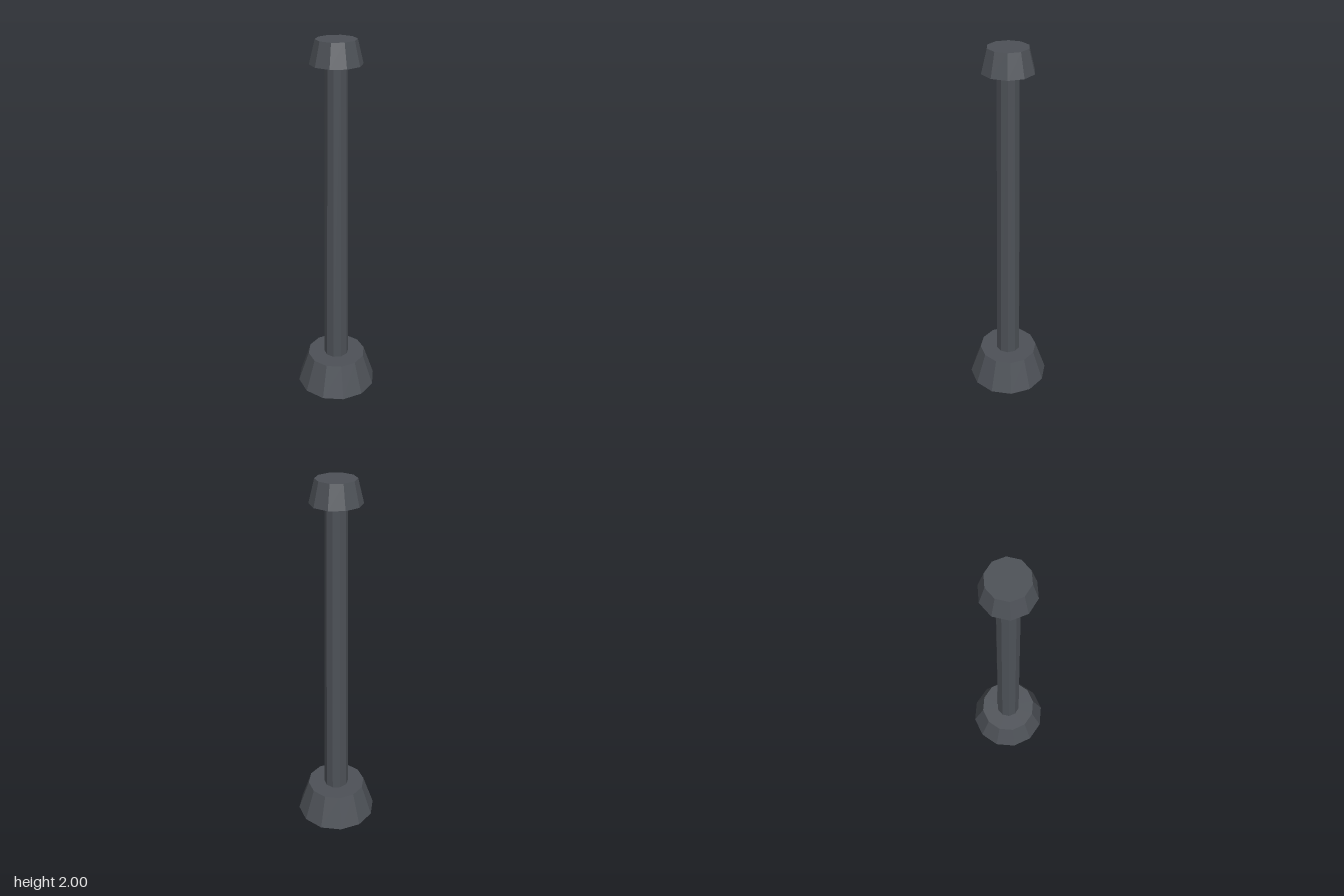
import * as THREE from 'three';

export function createModel() {
  const group = new THREE.Group();
  const darkGrey = new THREE.MeshStandardMaterial({ color: 0x4d5157, flatShading: true });
  darkGrey.name = 'darkGrey';

  // Tapered faceted section standing between two heights
  function section(name, rBottom, rTop, y0, y1, sides, open = false) {
    const geometry = new THREE.CylinderGeometry(rTop, rBottom, y1 - y0, sides, 1, open);
    const mesh = new THREE.Mesh(geometry, darkGrey);
    mesh.name = name;
    mesh.position.y = (y0 + y1) / 2;
    group.add(mesh);
  }

  section('base', 0.226, 0.165, 0, 0.185, 12);
  section('post', 0.07, 0.057, 0.185, 1.88, 10, true);
  section('cap', 0.134, 0.104, 1.88, 2, 10);

  return group;
}
